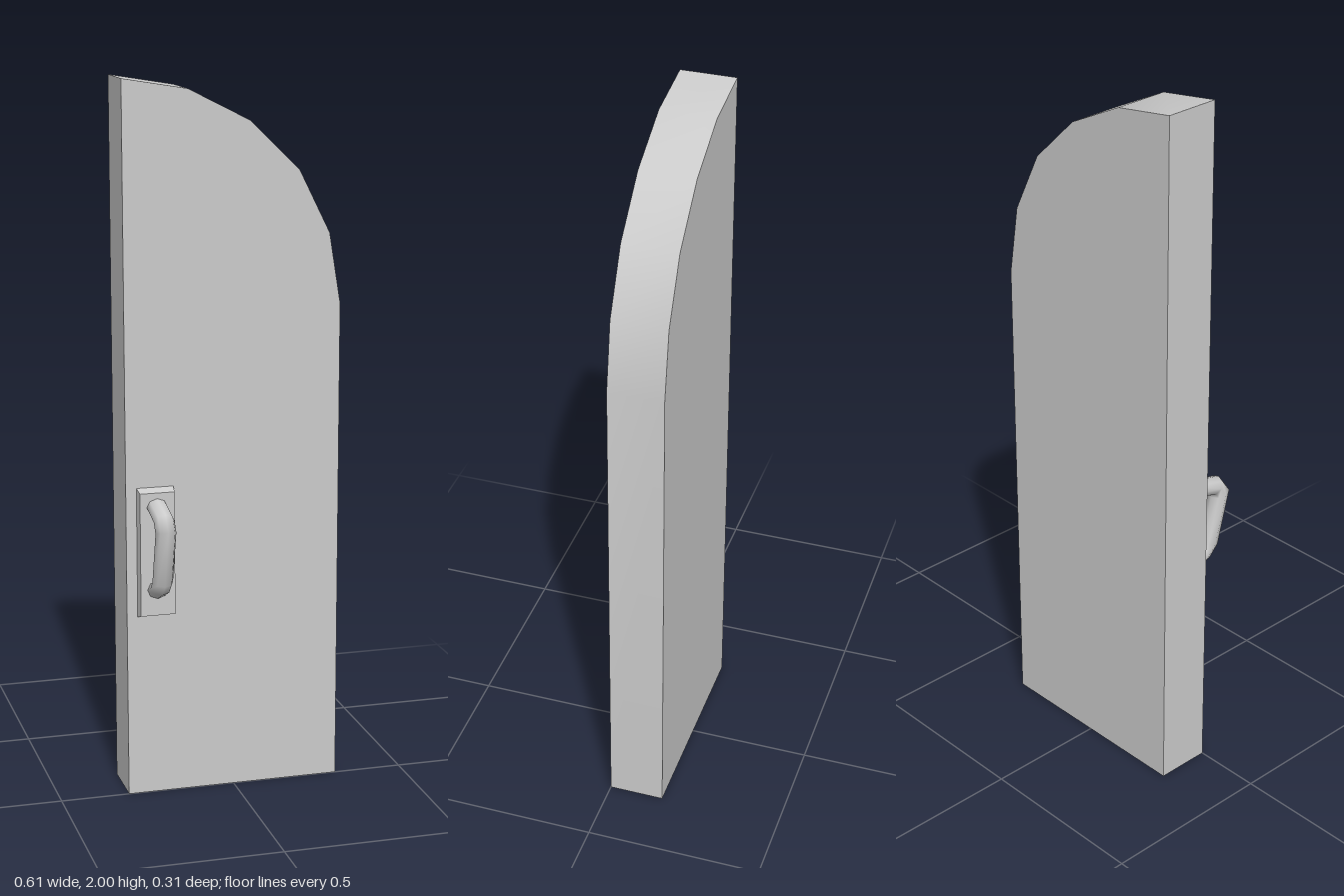
import * as THREE from 'three';
import { toCreasedNormals } from 'three/addons/utils/BufferGeometryUtils.js';

const material = new THREE.MeshStandardMaterial({ color: 0xcccccc });

function addMesh(group, name, geometry) {
  const mesh = new THREE.Mesh(geometry, material);
  mesh.name = name;
  group.add(mesh);
  return mesh;
}

// Door leaf: straight on the handle side, quarter arch on the other
function leafGeometry() {
  const outline = [
    [-0.306, 0], [0.305, 0], [0.305, 1.375], [0.273, 1.572],
    [0.186, 1.747], [0.046, 1.883], [-0.125, 1.97], [-0.306, 2],
  ].map(([x, y]) => new THREE.Vector2(x, y));
  const geometry = new THREE.ExtrudeGeometry(new THREE.Shape(outline), { depth: 0.156, bevelEnabled: false });
  geometry.translate(0, 0, -0.156);
  return toCreasedNormals(geometry, 0.6);
}

// Backing plate: a box tapering slightly towards the front
function plateGeometry() {
  const geometry = new THREE.BoxGeometry(0.104, 0.368, 0.029);
  const p = geometry.attributes.position;
  for (let i = 0; i < p.count; i++) {
    if (p.getZ(i) > 0) p.setXY(i, p.getX(i) * 0.94, p.getY(i) * 0.95);
  }
  geometry.computeVertexNormals();
  return geometry;
}

// Handle: eight-sided rings, each spanning an outer and an inner point [z, y]
function handleGeometry() {
  const stations = [
    [0.02, 0.866, 0.02, 0.818],
    [0.125, 0.843, 0.093, 0.797],
    [0.156, 0.8, 0.098, 0.785],
    [0.114, 0.636, 0.061, 0.655],
    [0.082, 0.604, 0.048, 0.637],
    [0.02, 0.574, 0.02, 0.627],
  ];
  const sides = 8, radius = 0.029;
  const positions = [], indices = [];
  stations.forEach(([zo, yo, zi, yi], j) => {
    for (let k = 0; k < sides; k++) {
      const a = (k / sides) * Math.PI * 2;
      const c = Math.cos(a) / 2;
      positions.push(Math.sin(a) * radius, (yo + yi) / 2 + c * (yo - yi), (zo + zi) / 2 + c * (zo - zi));
      if (j === stations.length - 1) continue;
      const here = j * sides + k, side = j * sides + (k + 1) % sides;
      indices.push(here, here + sides, side, side, here + sides, side + sides);
    }
  });
  const geometry = new THREE.BufferGeometry();
  geometry.setAttribute('position', new THREE.Float32BufferAttribute(positions, 3));
  geometry.setIndex(indices);
  geometry.computeVertexNormals();
  return geometry;
}

export function createModel() {
  const door = new THREE.Group();
  door.name = 'archedDoor';
  addMesh(door, 'doorLeaf', leafGeometry());
  addMesh(door, 'handlePlate', plateGeometry()).position.set(-0.224, 0.705, 0.0145);
  addMesh(door, 'handle', handleGeometry()).position.x = -0.225;
  return door;
}
